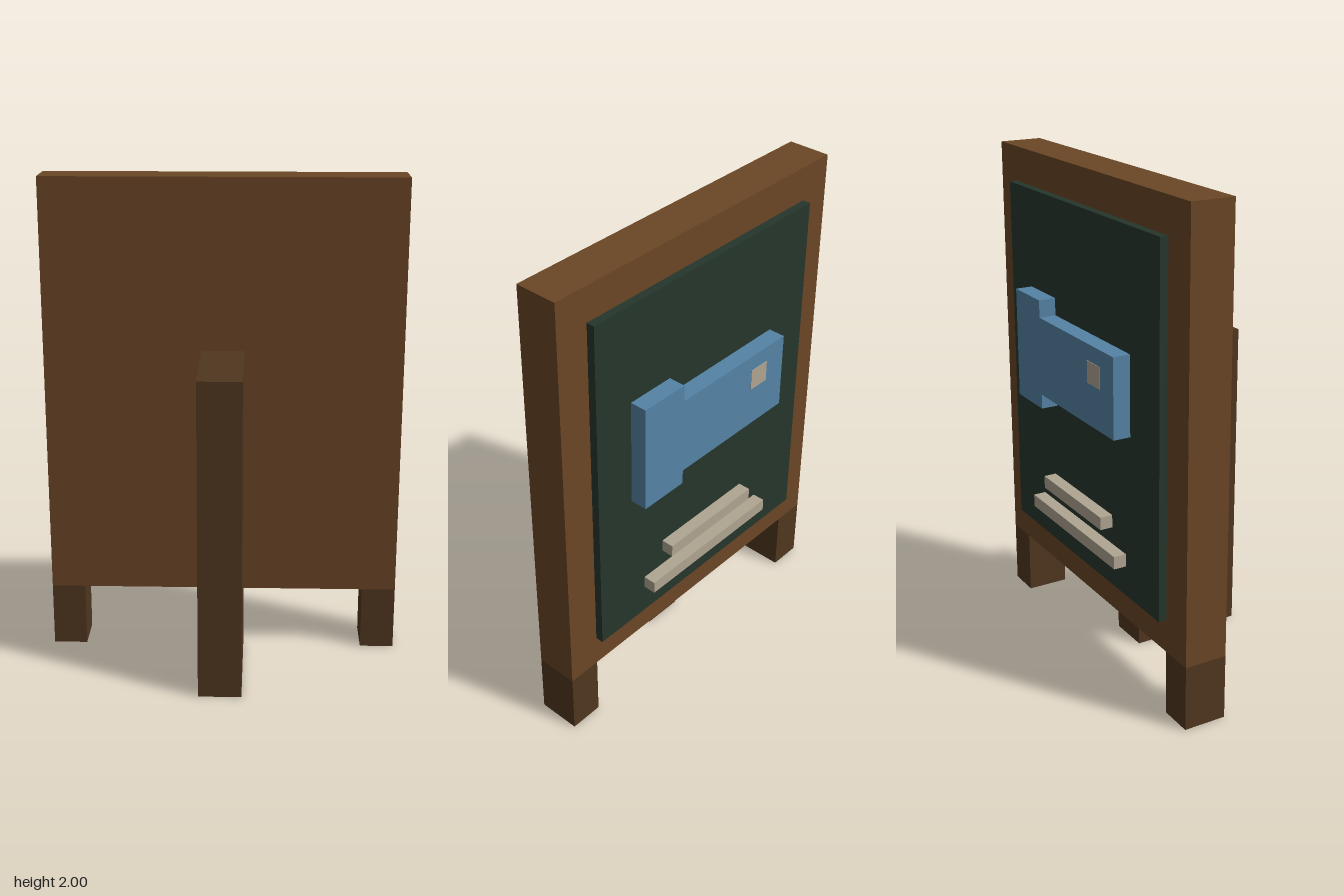
import * as THREE from 'three';

const mat = (color) => new THREE.MeshStandardMaterial({ color, flatShading: true });

export function createModel() {
  const group = new THREE.Group();
  const wood = mat(0x6b4626);
  const darkWood = mat(0x50371f);
  const slate = mat(0x25362c);
  const blue = mat(0x5583a5);
  const chalk = mat(0xb0a592);

  // Box given by its extents along each axis
  function box(name, material, [x0, x1], [y0, y1], [z0, z1]) {
    const mesh = new THREE.Mesh(new THREE.BoxGeometry(x1 - x0, y1 - y0, z1 - z0), material);
    mesh.position.set((x0 + x1) / 2, (y0 + y1) / 2, (z0 + z1) / 2);
    mesh.name = name;
    group.add(mesh);
  }

  // Board with a writing panel on its back face
  box('board', wood, [-0.73, 0.73], [0.265, 2], [-0.27, -0.095]);
  box('panel', slate, [-0.59, 0.59], [0.4, 1.86], [-0.303, -0.27]);

  // Two short legs and the deep support
  box('leftLeg', darkWood, [0.59, 0.73], [0, 0.265], [-0.27, -0.095]);
  box('rightLeg', darkWood, [-0.73, -0.59], [0, 0.265], [-0.27, -0.095]);
  box('support', darkWood, [-0.087, 0.087], [0, 1.305], [-0.095, 0.373]);

  // Blue key-shaped plate: tall head and narrower shank
  const shape = new THREE.Shape([
    [-0.383, 1.07], [0.207, 1.07], [0.207, 1.01], [0.415, 1.01],
    [0.415, 1.46], [0.207, 1.46], [0.207, 1.39], [-0.383, 1.39],
  ].map(([x, y]) => new THREE.Vector2(x, y)));
  const plate = new THREE.Mesh(
    new THREE.ExtrudeGeometry(shape, { depth: 0.07, bevelEnabled: false }), blue);
  plate.position.z = -0.373;
  plate.name = 'plate';
  group.add(plate);

  // Pale square set in the shank
  box('plateHole', chalk, [-0.28, -0.187], [1.237, 1.325], [-0.375, -0.35]);

  // Pale bars below the plate
  box('upperBar', chalk, [-0.24, 0.24], [0.648, 0.7], [-0.355, -0.303]);
  box('lowerBar', chalk, [-0.345, 0.345], [0.525, 0.577], [-0.355, -0.303]);

  return group;
}
